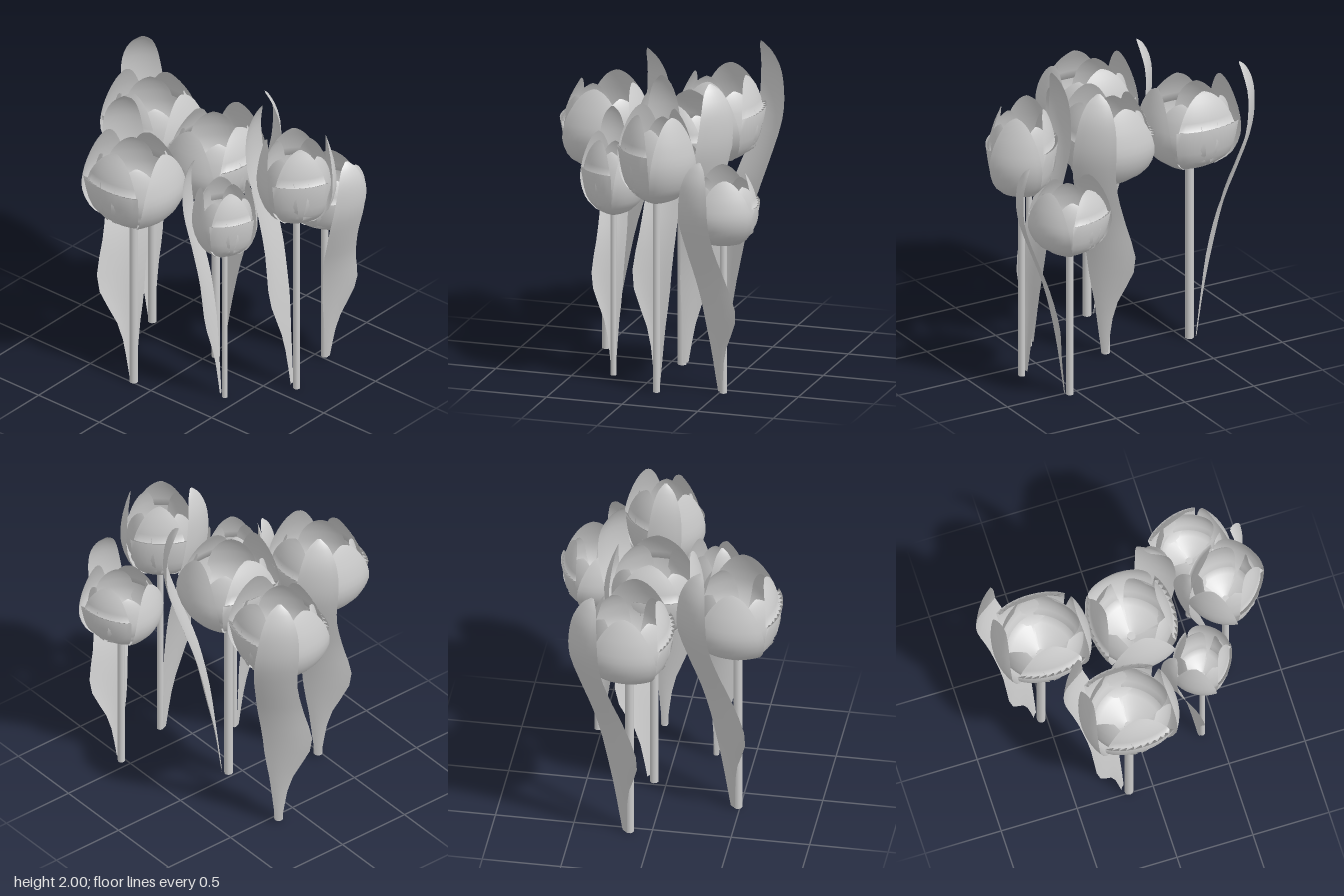
import * as THREE from 'three';

const material = new THREE.MeshStandardMaterial({ color: 0xcccccc, side: THREE.DoubleSide });

// Sheet of rows x cols quads; point(v, u) with v in 0..1 and u in -1..1
function sheet(name, rows, cols, point) {
  const positions = [];
  const index = [];
  for (let i = 0; i <= rows; i++) {
    for (let j = 0; j <= cols; j++) {
      positions.push(...point(i / rows, (2 * j) / cols - 1));
      if (i < rows && j < cols) {
        const a = i * (cols + 1) + j;
        const b = a + cols + 1;
        index.push(a, b, a + 1, b, b + 1, a + 1);
      }
    }
  }
  const geometry = new THREE.BufferGeometry();
  geometry.setAttribute('position', new THREE.Float32BufferAttribute(positions, 3));
  geometry.setIndex(index);
  geometry.computeVertexNormals();
  const mesh = new THREE.Mesh(geometry, material);
  mesh.name = name;
  return mesh;
}

// Smooth profile through [height, distance from stem, half width]
const profile = (points) =>
  new THREE.CatmullRomCurve3(points.map((p) => new THREE.Vector3(...p)), false, 'centripetal');

// Half widths of petals are angles in degrees
const sidePetal = profile([
  [1.18, 0.02, 50], [1.2, 0.1, 50], [1.235, 0.18, 49], [1.31, 0.265, 46], [1.42, 0.31, 43],
  [1.52, 0.308, 39], [1.62, 0.285, 32], [1.7, 0.257, 22], [1.74, 0.24, 12], [1.757, 0.232, 2],
]);
const frontPetal = profile([
  [1.18, 0.02, 55], [1.2, 0.09, 55], [1.235, 0.16, 55], [1.31, 0.23, 55], [1.42, 0.262, 55],
  [1.52, 0.258, 51], [1.62, 0.232, 43], [1.69, 0.2, 32], [1.73, 0.178, 18], [1.75, 0.168, 3],
]);
const innerPetal = profile([
  [1.19, 0.02, 46], [1.23, 0.12, 46], [1.31, 0.215, 43], [1.42, 0.255, 39],
  [1.52, 0.25, 35], [1.6, 0.232, 27], [1.655, 0.21, 15], [1.68, 0.195, 2],
]);
const leafProfile = profile([
  [0.02, 0.045, 0.02], [0.35, 0.09, 0.065], [0.65, 0.145, 0.15], [0.95, 0.215, 0.145],
  [1.2, 0.305, 0.135], [1.45, 0.39, 0.138], [1.6, 0.41, 0.132], [1.75, 0.4, 0.11],
  [1.86, 0.355, 0.065], [1.91, 0.315, 0.01],
]);

// Petal whose cross-section bulges less than a circle by the given roundness
function petal(name, curve, angle, roundness) {
  return sheet(name, 18, 10, (v, u) => {
    const p = curve.getPoint(v);
    const a = u * THREE.MathUtils.degToRad(p.z);
    const d = p.y * (1 - roundness * (1 - Math.cos(a)));
    const t = p.y * Math.sin(a);
    const c = Math.cos(angle);
    const s = Math.sin(angle);
    return [d * c - t * s, p.x, d * s + t * c];
  });
}

function leaf() {
  const angle = THREE.MathUtils.degToRad(218);
  const c = Math.cos(angle);
  const s = Math.sin(angle);
  // Sideways sway of the blade by height
  const sway = (y) => -0.055 * Math.exp(-(((y - 0.68) / 0.25) ** 2)) + 0.025 * Math.exp(-(((y - 1.35) / 0.25) ** 2));
  return sheet('leaf', 24, 6, (v, u) => {
    const p = leafProfile.getPoint(v);
    const d = p.y - 0.15 * p.z * u * u; // edges cup towards the stem
    const t = p.z * u + sway(p.x);
    return [d * c - t * s, p.x, d * s + t * c];
  });
}

function tulip() {
  const group = new THREE.Group();
  const stem = new THREE.Mesh(new THREE.CylinderGeometry(0.028, 0.028, 1.2, 10), material);
  stem.position.y = 0.6;
  stem.name = 'stem';
  group.add(stem, leaf());

  // Four wide outer petals, and four shorter ones behind the gaps
  const blossom = new THREE.Group();
  blossom.name = 'blossom';
  for (const half of [0, Math.PI]) {
    blossom.add(petal('sidePetal', sidePetal, half, 0.75));
    blossom.add(petal('frontPetal', frontPetal, half + Math.PI / 2, 0.5));
    blossom.add(petal('innerPetal', innerPetal, half + Math.PI / 4, 0.7));
    blossom.add(petal('innerPetal', innerPetal, half - Math.PI / 4, 0.7));
  }
  group.add(blossom);
  return group;
}

export function createModel() {
  const model = new THREE.Group();
  model.name = 'tulips';
  // x, z, turn in degrees, width scale, height scale
  const plants = [
    [-0.535, -0.14, 0, 1, 1],
    [-0.155, 0.485, 0, 1, 1],
    [0.04, -0.08, -90, 1, 1],
    [0.4, 0.255, 58, 0.65, 0.89],
    [0.56, -0.525, 200, 0.82, 0.82],
    [0.673, -0.12, 49, 0.8, 1.047],
  ];
  const base = tulip();
  for (const [x, z, turn, width, height] of plants) {
    const plant = base.clone();
    plant.name = 'tulip';
    plant.position.set(x, 0, z);
    plant.rotation.y = THREE.MathUtils.degToRad(turn);
    plant.scale.set(width, height, width);
    model.add(plant);
  }
  return model;
}
